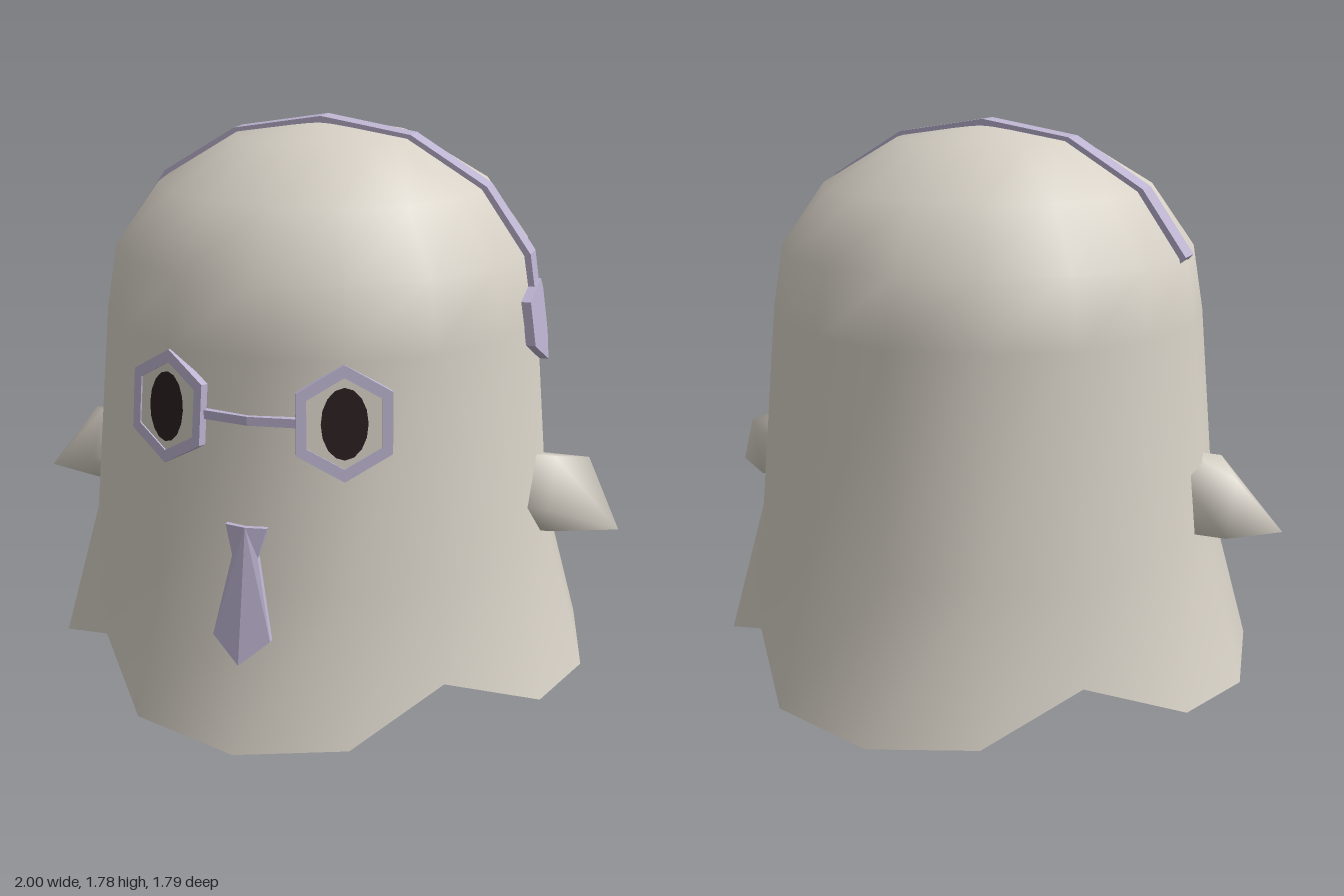
import * as THREE from 'three';
import { mergeVertices } from 'three/addons/utils/BufferGeometryUtils.js';

const cloth = new THREE.MeshStandardMaterial({ name: 'cloth', color: 0xd6d0c5 });
const lilac = new THREE.MeshStandardMaterial({ name: 'lilac', color: 0xbcb3d0 });
const black = new THREE.MeshStandardMaterial({ name: 'black', color: 0x2a1f1f });

// Smooth skin over a stack of closed rings of [x, y, z] points
function loft(rings) {
  const n = rings[0].length, index = [];
  for (let i = 0; i < rings.length - 1; i++) {
    for (let j = 0; j < n; j++) {
      const k = (j + 1) % n;
      const a = i * n + j, b = i * n + k, c = b + n, d = a + n;
      index.push(a, b, c, a, c, d);
    }
  }
  let geo = new THREE.BufferGeometry();
  geo.setAttribute('position', new THREE.Float32BufferAttribute(rings.flat(2), 3));
  geo.setIndex(index);
  geo = mergeVertices(geo, 1e-5);
  geo.computeVertexNormals();
  return geo;
}

const toShape = (pts) => new THREE.Shape(pts.map(([x, y]) => new THREE.Vector2(x, y)));
const extrude = (shape, depth) => new THREE.ExtrudeGeometry(shape, { depth, bevelEnabled: false });

function add(parent, name, geo, mat) {
  const mesh = new THREE.Mesh(geo, mat);
  mesh.name = name;
  parent.add(mesh);
  return mesh;
}

// Plate creased along x = 0; half outline is [x, y, z], z being the depth along the crease
function foldedPlate(name, half, depth, slope) {
  const group = new THREE.Group();
  group.name = name;
  for (const side of [1, -1]) {
    const geo = extrude(toShape(half.map(([x, y]) => [side * x, y])), depth);
    const p = geo.attributes.position;
    for (let i = 0; i < p.count; i++) {
      const row = half.find(([, y]) => Math.abs(y - p.getY(i)) < 1e-4);
      p.setZ(i, p.getZ(i) + row[2] - slope * Math.abs(p.getX(i)));
    }
    geo.computeVertexNormals();
    add(group, name + 'Half', geo, lilac);
  }
  return group;
}

const SIDES = 16;
const ring = (fn) => Array.from({ length: SIDES }, (_, j) => {
  const a = (j / SIDES) * Math.PI * 2, [r, y] = fn(j);
  return [r * Math.sin(a), y, r * Math.cos(a)];
});

function addBody(root) {
  // Wavy hem: four low lobes, raised on the diagonals
  const lobe = [[0.897, 0], [0.887, 0.03], [0.795, 0.155], [0.887, 0.03]];
  const lip = [[0.84, 0.015], [0.745, 0.085], [0.75, 0.155], [0.745, 0.085]];
  const profile = [[0.765, 0.48], [0.705, 1.17], [0.67, 1.38], [0.53, 1.58], [0.29, 1.725], [0, 1.77]];
  const hem = ring((j) => lobe[j % 4]);
  const innerHem = ring((j) => lip[j % 4]);
  const hollowTip = ring(() => [0.001, 0.7]);
  add(root, 'body', loft([hem, ...profile.map((p) => ring(() => p))]), cloth);
  add(root, 'hemEdge', loft([innerHem, hem]), cloth);
  // Tapered hollow underneath
  add(root, 'hollow', loft([hollowTip, innerHem]), cloth);
}

function addArm(root, side) {
  // Pentagon stub cut at a slant, ending in a drooping point
  const section = [[0.85, 0.51, -0.07], [0.88, 0.705, -0.075], [0.79, 0.742, 0.06], [0.79, 0.595, 0.155], [0.78, 0.485, 0.06]];
  const rings = [
    section.map(([, y, z]) => [0.68, y, z]),
    section,
    section.map(() => [1, 0.515, 0.05]),
  ].map((r) => {
    const out = r.map(([x, y, z]) => [x * side, y, z]);
    return side < 0 ? out.reverse() : out;
  });
  add(root, side > 0 ? 'leftArm' : 'rightArm', loft(rings), cloth);
}

function addEye(root, side) {
  const eye = new THREE.Group();
  eye.name = side > 0 ? 'leftEye' : 'rightEye';
  const turn = side * 0.39;
  eye.rotation.set(-0.087, turn, 0, 'YXZ');
  eye.position.set(0.69 * Math.sin(turn), 0.99, 0.69 * Math.cos(turn));
  const hexagon = (w, h) => [[0, h], [-w, h * 0.53], [-w, -h * 0.53], [0, -h], [w, -h * 0.53], [w, h * 0.53]];
  const rim = toShape(hexagon(0.14, 0.173));
  rim.holes.push(toShape(hexagon(0.11, 0.135)));
  add(eye, 'glassesRim', extrude(rim, 0.026), lilac).position.z = 0.012;
  add(eye, 'eyeWhite', new THREE.ShapeGeometry(toShape(hexagon(0.12, 0.145))), cloth).position.z = 0.033;
  const pupil = new THREE.CircleGeometry(1, 16);
  pupil.scale(0.069, 0.107, 1);
  add(eye, 'pupil', pupil, black).position.z = 0.038;
  root.add(eye);
}

export function createModel() {
  const root = new THREE.Group();
  root.name = 'ghost';
  addBody(root);
  for (const side of [1, -1]) {
    addArm(root, side);
    addEye(root, side);
  }

  // Glasses bridge, bent around the face
  const bridge = extrude(toShape([[-0.145, -0.69], [0, -0.71], [0.145, -0.69], [0.145, -0.712], [0, -0.733], [-0.145, -0.712]]), 0.027);
  bridge.rotateX(-Math.PI / 2);
  add(root, 'glassesBridge', bridge, lilac).position.y = 0.98;

  // Necktie
  root.add(foldedPlate('necktie', [
    [0, 0.675, 0.745], [0.065, 0.675, 0.745], [0.04, 0.585, 0.755],
    [0.09, 0.34, 0.803], [0, 0.265, 0.82],
  ], 0.018, 0.18));

  // Headband over the crown, running down to the single ear cup
  const top = [[-0.682, 1.385], [-0.538, 1.588], [-0.293, 1.737], [0, 1.785], [0.293, 1.737], [0.538, 1.588], [0.682, 1.385], [0.703, 1.25]];
  const under = top.map(([x, y]) => [x * 0.965, y - 0.025]).reverse();
  add(root, 'headband', extrude(toShape([...top, ...under]), 0.082), lilac).position.z = -0.042;

  // Ear cup on the left side
  const cup = foldedPlate('earCup', [
    [0, 1.305, 0.68], [0.108, 1.25, 0.69], [0.108, 1.113, 0.71], [0, 1.045, 0.715],
  ], 0.03, 0.18);
  cup.rotation.y = Math.PI / 2;
  root.add(cup);
  return root;
}
